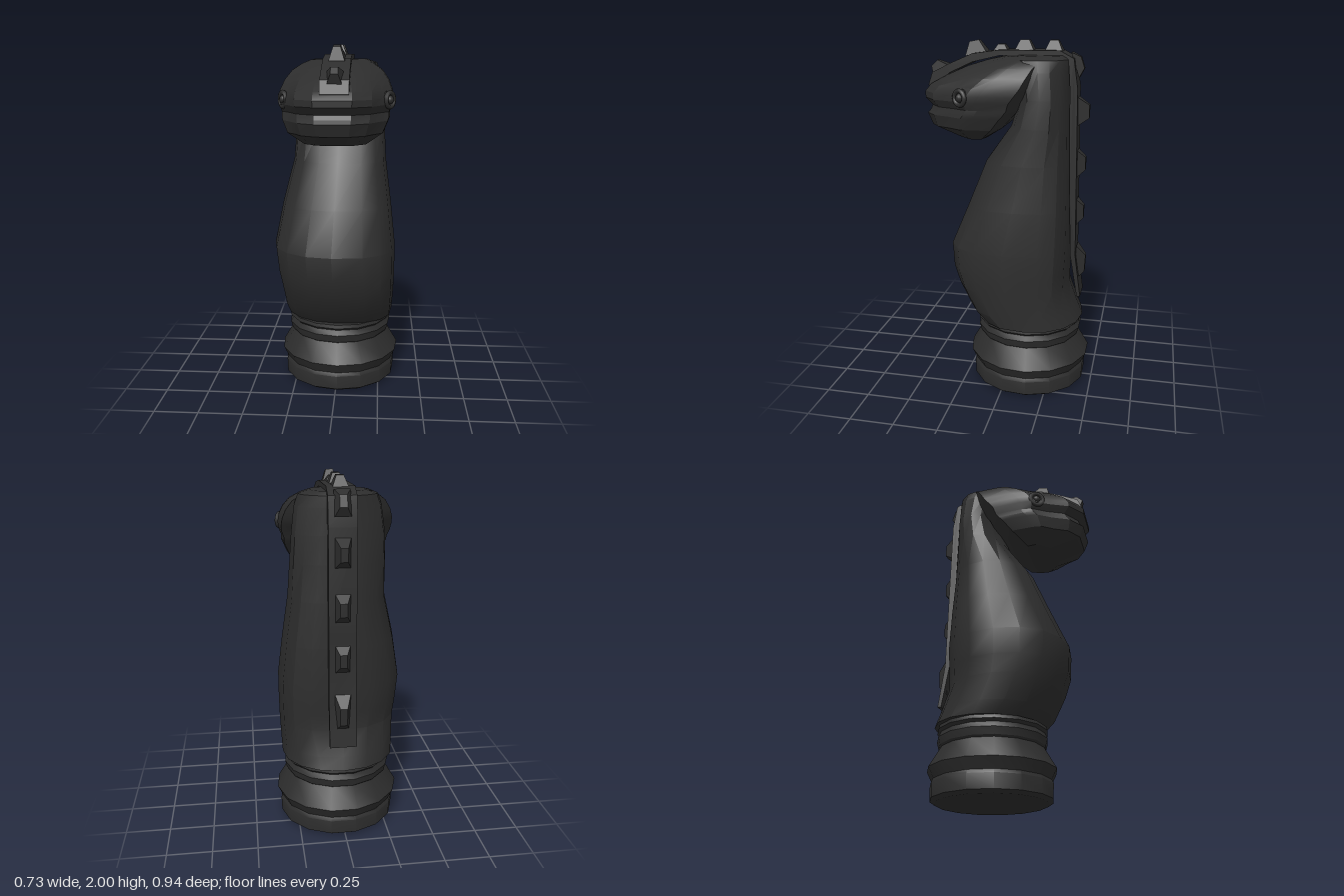
import * as THREE from 'three';
import { toCreasedNormals } from 'three/addons/utils/BufferGeometryUtils.js';

// Closed skin over stacked rings, listed bottom to top
function loft(rings, crease = 0.5) {
  const n = rings[0].length, pos = rings.flat(2), idx = [];
  for (let r = 0; r < rings.length - 1; r++) {
    for (let i = 0; i < n; i++) {
      const a = r * n + i, b = r * n + (i + 1) % n;
      idx.push(a, a + n, b, b, a + n, b + n);
    }
  }
  const top = (rings.length - 1) * n;
  for (let i = 1; i < n - 1; i++) {
    idx.push(0, i, i + 1, top, top + i + 1, top + i);
  }
  const g = new THREE.BufferGeometry();
  g.setAttribute('position', new THREE.Float32BufferAttribute(pos, 3));
  g.setIndex(idx);
  return toCreasedNormals(g, crease);
}

export function createModel() {
  const model = new THREE.Group();
  model.name = 'chessKnight';
  const ebony = new THREE.MeshStandardMaterial({ color: 0x2d2d2d });
  ebony.name = 'ebony';
  const add = (name, geometry, parent = model) => {
    const mesh = new THREE.Mesh(geometry, ebony);
    mesh.name = name;
    parent.add(mesh);
    return mesh;
  };

  // Turned pedestal
  const profile = [[0, 0], [0.31, 0.003], [0.335, 0.02], [0.338, 0.1], [0.328, 0.12], [0.357, 0.18],
    [0.29, 0.295], [0.3, 0.305], [0.31, 0.345], [0.295, 0.375], [0.31, 0.39], [0.305, 0.41], [0, 0.41]]
    .map(([r, y]) => new THREE.Vector2(r, y));
  const base = add('base', toCreasedNormals(new THREE.LatheGeometry(profile, 15), 0.5));
  base.position.set(0.01, 0, -0.118);

  // Chest and neck, slightly uneven like a carving:
  // height, back z, front z, half width, x shift, roundness of the left back corner
  const neckRings = [
    [0.41, -0.435, 0.15, 0.32, 0.01, 0.98], [0.48, -0.405, 0.22, 0.328, 0.005, 0.88],
    [0.62, -0.352, 0.29, 0.338, 0, 0.68], [0.72, -0.355, 0.325, 0.347, -0.008, 0.62],
    [0.86, -0.36, 0.335, 0.354, -0.015, 0.6], [1.10, -0.355, 0.23, 0.318, -0.005, 0.62],
    [1.35, -0.347, 0.125, 0.27, 0.01, 0.7], [1.55, -0.338, -0.02, 0.26, 0.01, 0.8],
    [1.70, -0.334, -0.065, 0.25, 0.01, 0.86], [1.84, -0.333, -0.04, 0.232, 0.01, 0.92],
    [1.90, -0.335, -0.02, 0.21, 0.01, 0.92], [1.92, -0.31, -0.05, 0.15, 0.01, 0.92],
  ].map(([y, back, front, w, shift, corner]) => Array.from({ length: 16 }, (_, i) => {
    const a = (i / 16) * Math.PI * 2, c = Math.cos(a), s = Math.sin(a);
    const power = c > 0 ? (s < 0 ? corner : 0.75) : 0.94;
    const round = (v) => Math.sign(v) * Math.pow(Math.abs(v), power);
    return [shift + w * round(c), y, (back + front) / 2 + (front - back) / 2 * round(s)];
  }));
  add('neck', loft(neckRings));

  // Head outline seen from above: width share, depth share from back to front
  const half = [[0.6, 0], [0.97, 0.1], [1, 0.4], [0.98, 0.52], [0.8, 0.68], [0.64, 0.87], [0.32, 1]];
  const outline = [...half, ...half.map(([x, t]) => [-x, t]).reverse()];
  // Height, back z, front z, half width; the dip near 1.64 is the mouth
  const headRings = [
    [1.47, 0.12, 0.28, 0.17], [1.535, 0.02, 0.435, 0.26], [1.60, -0.04, 0.46, 0.288],
    [1.62, -0.06, 0.44, 0.295], [1.645, -0.08, 0.43, 0.295], [1.685, -0.1, 0.468, 0.31],
    [1.72, -0.13, 0.468, 0.312], [1.76, -0.16, 0.435, 0.308], [1.81, -0.18, 0.34, 0.29],
    [1.86, -0.2, 0.225, 0.255], [1.895, -0.22, 0.11, 0.205], [1.915, -0.24, 0.01, 0.16],
  ].map(([y, back, front, w]) => outline.map(([x, t]) => [x * w, y, back + t * (front - back)]));
  add('head', loft(headRings, 0.4));

  // Mane band: outer edge from nose to nape and down, then the inner edge back up (z, y)
  const band = new THREE.Shape([
    [0.455, 1.75], [0.43, 1.82], [0.34, 1.865], [0.2, 1.925], [0.05, 1.945], [-0.28, 1.945],
    [-0.355, 1.905], [-0.378, 1.75], [-0.385, 1.2], [-0.39, 0.8], [-0.425, 0.55],
    [-0.405, 0.55], [-0.362, 0.8], [-0.347, 1.2], [-0.336, 1.75], [-0.328, 1.87],
    [-0.27, 1.915], [0.05, 1.915], [0.2, 1.88], [0.33, 1.82], [0.42, 1.74],
  ].map(([z, y]) => new THREE.Vector2(z, y)));
  const bandGeometry = new THREE.ExtrudeGeometry(band, { depth: 0.15, bevelEnabled: false });
  bandGeometry.translate(0, 0, -0.085).rotateY(-Math.PI / 2);
  add('maneBand', toCreasedNormals(bandGeometry, 0.5));

  // Mane studs: y, z, outward tilt from vertical, half length, height
  const studs = new THREE.Group();
  studs.name = 'maneStuds';
  model.add(studs);
  [
    [1.825, 0.395, 0.75, 0.055, 0.06], [1.925, 0.19, 0.2, 0.06, 0.07], [1.94, 0.05, 0, 0.04, 0.035],
    [1.94, -0.08, 0, 0.055, 0.06], [1.94, -0.24, 0, 0.05, 0.06], [1.87, -0.36, -1.25, 0.07, 0.04],
    [1.62, -0.378, -1.57, 0.08, 0.065], [1.33, -0.38, -1.57, 0.08, 0.05],
    [1.05, -0.382, -1.57, 0.08, 0.045], [0.74, -0.39, -1.62, 0.11, 0.055],
  ].forEach(([y, z, tilt, length, height]) => {
    const g = new THREE.CylinderGeometry(0.45 * Math.SQRT2, Math.SQRT2, 1, 4, 1);
    g.rotateY(Math.PI / 4).translate(0, 0.45, 0).scale(0.043, height, length);
    const stud = add('maneStud', toCreasedNormals(g, 0.3), studs);
    stud.position.set(0.01, y, z);
    stud.rotation.x = tilt;
  });

  // Eyes: raised rim around a domed pupil
  for (const side of [1, -1]) {
    const eye = new THREE.Group();
    eye.name = side > 0 ? 'leftEye' : 'rightEye';
    eye.position.set(side * 0.285 + 0.007, 1.71, 0.218);
    eye.rotation.y = side * 1.0;
    add('eyeRim', new THREE.TorusGeometry(0.038, 0.013, 8, 16), eye);
    add('eyeball', new THREE.SphereGeometry(0.024, 12, 8), eye).position.z = -0.003;
    const socket = new THREE.CylinderGeometry(0.04, 0.048, 0.04, 16).rotateX(Math.PI / 2);
    add('eyeSocket', toCreasedNormals(socket, 0.6), eye).position.z = -0.02;
    model.add(eye);
  }
  return model;
}
